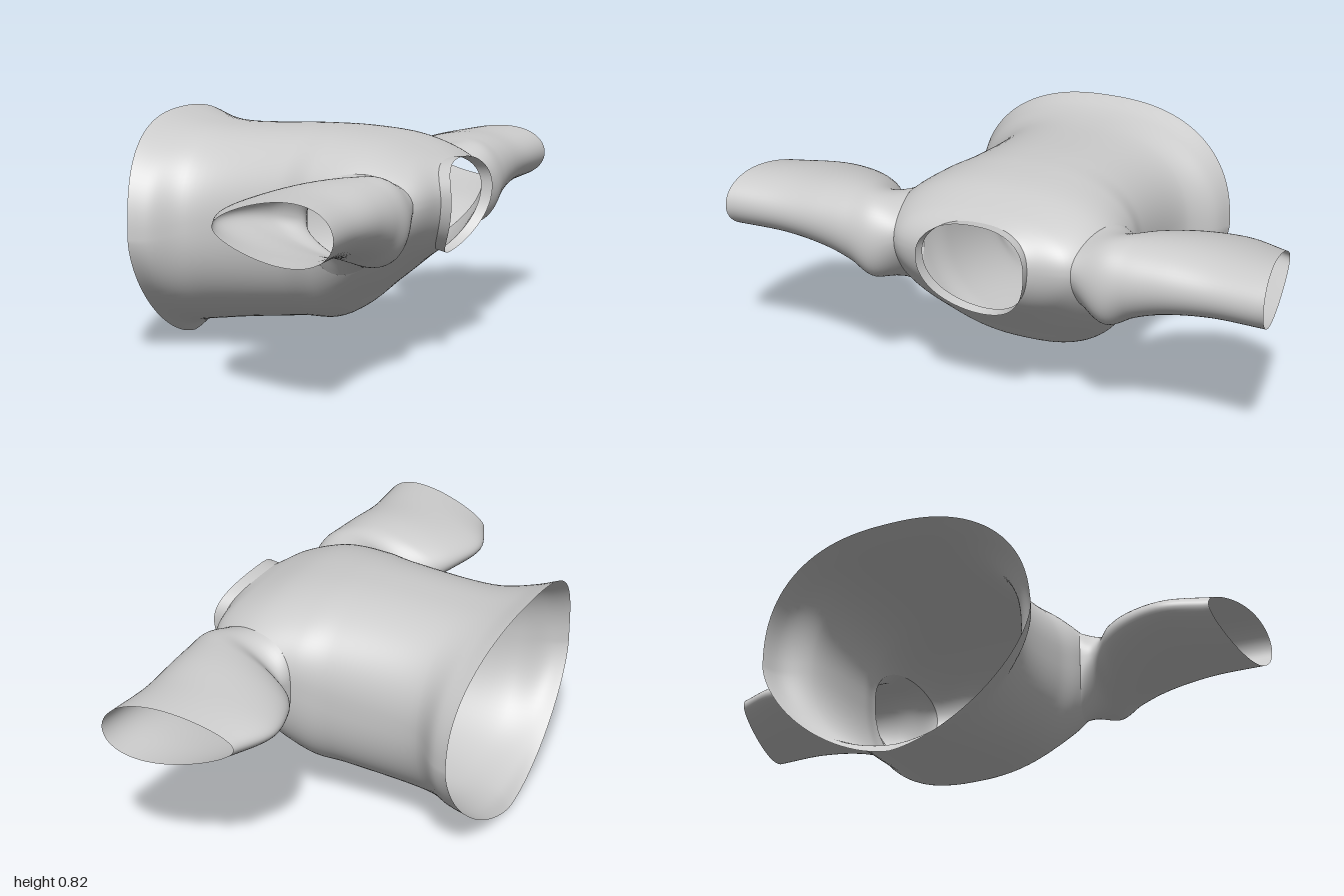
import * as THREE from 'three';

const cloth = new THREE.MeshStandardMaterial({ color: 0xcccccc, side: THREE.DoubleSide });

// Torso sections, hem to neck: x at top, side, bottom; y at top, side, bottom; half width; lower roundness
const SECTIONS = [
  [-0.555, -0.5, -0.51, 0.82, 0.42, 0, 0.505, 1.6],
  [-0.47, -0.44, -0.46, 0.79, 0.42, 0.045, 0.48, 1.8],
  [-0.34, -0.33, -0.33, 0.775, 0.44, 0.073, 0.395, 2.1],
  [0, 0, 0, 0.785, 0.49, 0.118, 0.385, 2.5],
  [0.13, 0.13, 0.13, 0.782, 0.53, 0.13, 0.41, 2.5],
  [0.28, 0.33, 0.25, 0.764, 0.55, 0.225, 0.42, 2.3],
  [0.4, 0.475, 0.38, 0.725, 0.57, 0.33, 0.33, 1.8],
  [0.47, 0.52, 0.445, 0.695, 0.575, 0.378, 0.195, 2],
];
const COLLAR_RIM = [0.515, 0.56, 0.48, 0.7, 0.575, 0.37, 0.2, 2];
const LAST = SECTIONS.length - 1;

// Superellipse section; v runs 0..1 around from the top by the left side
function sectionPoint([xTop, xSide, xBottom, yTop, ySide, yBottom, width, lowerRound], v) {
  const c = Math.cos(v * Math.PI * 2), s = Math.sin(v * Math.PI * 2);
  const e = 2 / (c > 0 ? 2.4 : lowerRound);
  const h = Math.abs(c) ** e;
  return new THREE.Vector3(
    THREE.MathUtils.lerp(xSide, c > 0 ? xTop : xBottom, h * h),
    THREE.MathUtils.lerp(ySide, c > 0 ? yTop : yBottom, h),
    width * Math.sign(s) * Math.abs(s) ** e,
  );
}

// Point on the torso; u counts sections from the hem
function torsoPoint(u, v) {
  return new THREE.CatmullRomCurve3(SECTIONS.map((s) => sectionPoint(s, v))).getPoint(u / LAST);
}

// Grid surface, open along u and closed around v; keep() can leave out quads
function loft(name, point, nu, nv, keep = () => true) {
  const pos = [], index = [];
  for (let i = 0; i <= nu; i++) {
    for (let j = 0; j < nv; j++) pos.push(...point(i / nu, j / nv).toArray());
  }
  for (let i = 0; i < nu; i++) {
    for (let j = 0; j < nv; j++) {
      if (!keep(i, j)) continue;
      const k = (j + 1) % nv;
      const a = i * nv + j, b = a + nv, c = i * nv + k, d = c + nv;
      index.push(a, c, b, b, c, d);
    }
  }
  const geo = new THREE.BufferGeometry();
  geo.setAttribute('position', new THREE.Float32BufferAttribute(pos, 3));
  geo.setIndex(index);
  geo.computeVertexNormals();
  const mesh = new THREE.Mesh(geo, cloth);
  mesh.name = name;
  return mesh;
}

// Armholes: ellipses in (u, v) on both sides of the torso
const HOLE = { u: 5, ru: 1, rv: 0.092 };
function holeOffset(u, v) {
  const centre = v < 0.5 ? 0.25 : 0.75;
  const du = (u - HOLE.u) / HOLE.ru, dv = (v - centre) / HOLE.rv;
  return { centre, du, dv, r: Math.hypot(du, dv) };
}

function makeTorso() {
  const nu = 64, nv = 96;
  const inside = (i, j) => holeOffset((i / nu) * LAST, (j % nv) / nv).r < 1;
  // Vertices inside an armhole slide out to its edge
  const point = (a, v) => {
    const { centre, du, dv, r } = holeOffset(a * LAST, v);
    if (r >= 1 || r < 1e-6) return torsoPoint(a * LAST, v);
    return torsoPoint(HOLE.u + (du / r) * HOLE.ru, centre + (dv / r) * HOLE.rv);
  };
  const keep = (i, j) => !(inside(i, j) && inside(i + 1, j) && inside(i, j + 1) && inside(i + 1, j + 1));
  return loft('torso', point, nu, nv, keep);
}

// Sleeve sections, shoulder to cuff: x min, x max, y min, y max, z at x min, z at x max
const SLEEVE = [
  [0.14, 0.5, 0.385, 0.69, 0.46, 0.43],
  [0.06, 0.495, 0.42, 0.695, 0.54, 0.52],
  [0.01, 0.485, 0.448, 0.695, 0.63, 0.63],
  [-0.02, 0.475, 0.468, 0.685, 0.77, 0.8],
  [0.04, 0.487, 0.478, 0.682, 0.925, 1],
];

function makeSleeve(name, side) {
  const point = (a, b) => {
    const t = side * b * Math.PI * 2, c = Math.cos(t), s = Math.sin(t);
    const armhole = torsoPoint(HOLE.u + HOLE.ru * c, 0.25 - HOLE.rv * s);
    // Teardrop sections, thin along the underarm edge
    const path = SLEEVE.map(([x0, x1, y0, y1, z0, z1]) => new THREE.Vector3(
      (x0 + x1) / 2 + ((x1 - x0) / 2) * c,
      (y0 + y1) / 2 + ((y1 - y0) / 2) * s * (0.95 + 0.3 * c),
      (z0 + z1) / 2 + ((z1 - z0) / 2) * c,
    ));
    const p = new THREE.CatmullRomCurve3([armhole, ...path]).getPoint(a);
    p.z *= side;
    return p;
  };
  return loft(name, point, 36, 72);
}

// Narrow band around the neck opening
function makeCollar() {
  const point = (a, v) => sectionPoint(SECTIONS[LAST], v).lerp(sectionPoint(COLLAR_RIM, v), a);
  return loft('collar', point, 3, 96);
}

export function createModel() {
  const group = new THREE.Group();
  group.name = 'shirt';
  group.add(makeTorso(), makeSleeve('leftSleeve', 1), makeSleeve('rightSleeve', -1), makeCollar());
  return group;
}
